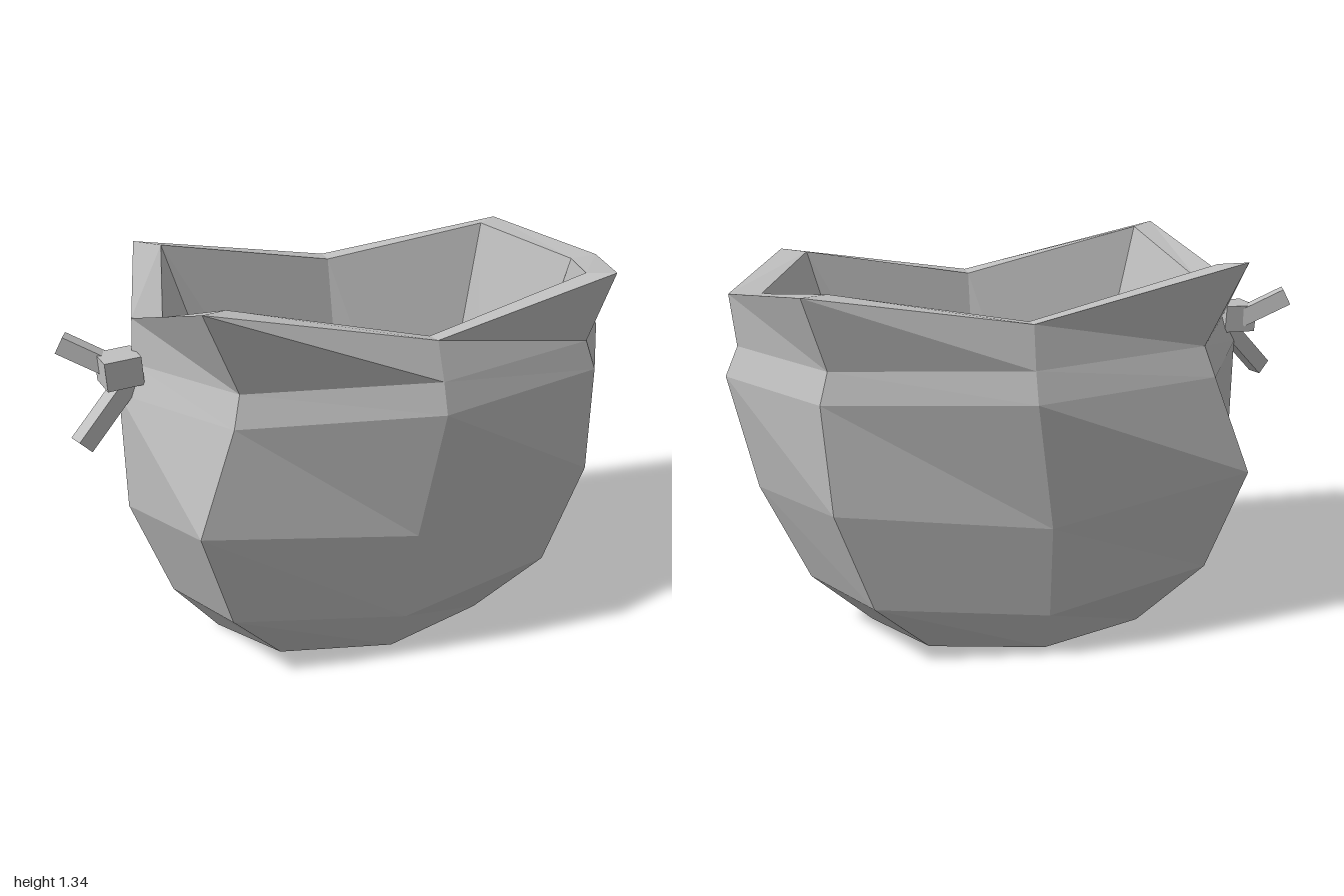
import * as THREE from 'three';

const cloth = new THREE.MeshStandardMaterial({ color: 0xbfbfbf, flatShading: true });
cloth.name = 'grey cloth';

// Half ring from the left end round the front to the right end, mirrored to the
// back; an optional sixth point replaces the mirrored back middle.
function ring(leftEnd, leftCorner, middle, rightCorner, rightEnd, backMiddle) {
  const back = ([x, y, z]) => [x, y, -z];
  return [leftEnd, leftCorner, middle, rightCorner, rightEnd,
    back(rightCorner), backMiddle || back(middle), back(leftCorner)];
}

// Joins rings into faceted bands, with optional flat caps at either end
function loft(name, rings, capStart = false, capEnd = false) {
  const pos = [];
  const tri = (a, b, c) => pos.push(...a, ...b, ...c);
  for (let r = 0; r < rings.length - 1; r++) {
    for (let i = 0; i < 8; i++) {
      const j = (i + 1) % 8;
      const a = rings[r][i], b = rings[r][j], c = rings[r + 1][j], d = rings[r + 1][i];
      tri(a, b, d);
      tri(b, c, d);
    }
  }
  const first = rings[0], last = rings[rings.length - 1];
  for (let i = 1; i < 7; i++) {
    if (capStart) tri(first[0], first[i + 1], first[i]);
    if (capEnd) tri(last[0], last[i], last[i + 1]);
  }
  const geo = new THREE.BufferGeometry();
  geo.setAttribute('position', new THREE.Float32BufferAttribute(pos, 3));
  geo.computeVertexNormals();
  const mesh = new THREE.Mesh(geo, cloth);
  mesh.name = name;
  return mesh;
}

// Square bar between two points
function bar(name, from, to, width, height) {
  const a = new THREE.Vector3(...from), b = new THREE.Vector3(...to);
  const mesh = new THREE.Mesh(new THREE.BoxGeometry(width, height, a.distanceTo(b)), cloth);
  mesh.position.copy(a).add(b).multiplyScalar(0.5);
  mesh.lookAt(b);
  mesh.name = name;
  return mesh;
}

export function createModel() {
  const model = new THREE.Group();
  model.name = 'openSack';

  // Outer wall from the base up through the cinched neck
  const outerRim = ring([-0.76, 1.21, 0], [-0.645, 1.34, 0.44], [0.085, 1.18, 0.485],
    [0.77, 1.3, 0.42], [0.97, 1.235, 0], [0.085, 1.2, -0.51]);
  model.add(loft('outerWall', [
    ring([-0.535, 0, 0], [-0.38, 0, 0.25], [0, 0, 0.36], [0.39, 0, 0.25], [0.555, 0, 0]),
    ring([-0.69, 0.19, 0], [-0.58, 0.25, 0.375], [0.01, 0.175, 0.455], [0.59, 0.235, 0.38], [0.765, 0.2, 0]),
    ring([-0.82, 0.55, 0], [-0.69, 0.62, 0.445], [0.02, 0.52, 0.515], [0.71, 0.6, 0.425], [0.92, 0.56, 0]),
    ring([-0.82, 0.96, 0], [-0.56, 0.96, 0.42], [0.085, 0.96, 0.567], [0.73, 0.96, 0.4], [1, 0.96, 0]),
    ring([-0.77, 1.06, 0], [-0.53, 1.06, 0.39], [0.085, 1.06, 0.535], [0.7, 1.06, 0.38], [0.955, 1.06, 0]),
    outerRim,
  ], true));

  // Rim lip
  const innerRim = ring([-0.66, 1.2, 0], [-0.56, 1.33, 0.39], [0.085, 1.175, 0.425],
    [0.685, 1.295, 0.365], [0.865, 1.23, 0], [0.085, 1.195, -0.45]);
  model.add(loft('rim', [outerRim, innerRim]));

  // Inner wall and floor
  const floor = ring([-0.34, 0.12, 0], [-0.22, 0.12, 0.17], [0.085, 0.12, 0.24],
    [0.385, 0.12, 0.17], [0.51, 0.12, 0]);
  model.add(loft('innerWallAndFloor', [innerRim, floor], false, true));

  // Knotted tie on the right side
  const tie = new THREE.Group();
  tie.name = 'tie';
  tie.add(
    bar('knot', [-0.755, 1.055, 0.01], [-0.875, 1.05, 0.02], 0.12, 0.095),
    bar('upperTail', [-0.83, 1.05, -0.015], [-0.98, 1.135, -0.068], 0.055, 0.06),
    bar('lowerTail', [-0.79, 1.01, 0.02], [-0.965, 0.835, 0.075], 0.055, 0.06),
  );
  model.add(tie);
  return model;
}
